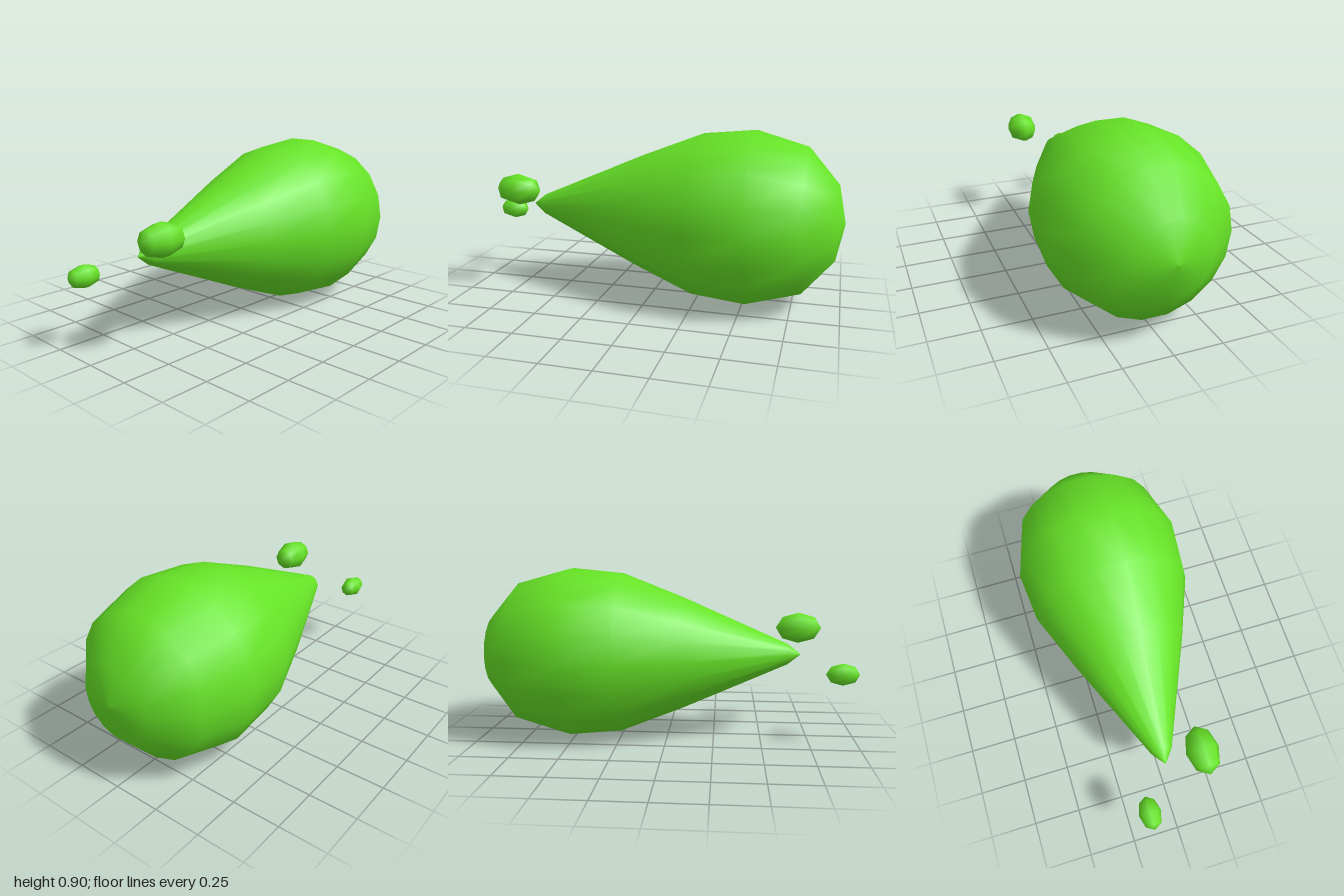
import * as THREE from 'three';

export function createModel() {
  const model = new THREE.Group();
  const slime = new THREE.MeshStandardMaterial({ color: 0x66e326 });
  slime.name = 'slime green';

  // Main teardrop: [radius, z] from the round back to the pointed front
  const profile = [
    [0, -1], [0.195, -0.96], [0.38, -0.8], [0.457, -0.53],
    [0.43, -0.25], [0.3, 0.08], [0.055, 0.64], [0, 0.71],
  ].map(([r, z]) => new THREE.Vector2(r, z));
  const dropGeometry = new THREE.LatheGeometry(profile, 18, Math.PI / 2);
  dropGeometry.rotateX(Math.PI / 2);
  const drop = new THREE.Mesh(dropGeometry, slime);
  drop.name = 'mainDrop';
  drop.position.y = 0.453;
  model.add(drop);

  // Small stretched droplets ahead of the tip
  const addDroplet = (name, x, y, z, radius, halfLength) => {
    const geometry = new THREE.SphereGeometry(1, 8, 4);
    geometry.rotateX(Math.PI / 2);
    geometry.scale(radius, radius, halfLength);
    const droplet = new THREE.Mesh(geometry, slime);
    droplet.name = name;
    droplet.position.set(x, y, z);
    model.add(droplet);
  };
  addDroplet('largeDroplet', 0.183, 0.571, 0.714, 0.085, 0.125);
  addDroplet('smallDroplet', -0.145, 0.375, 0.912, 0.058, 0.086);

  return model;
}
